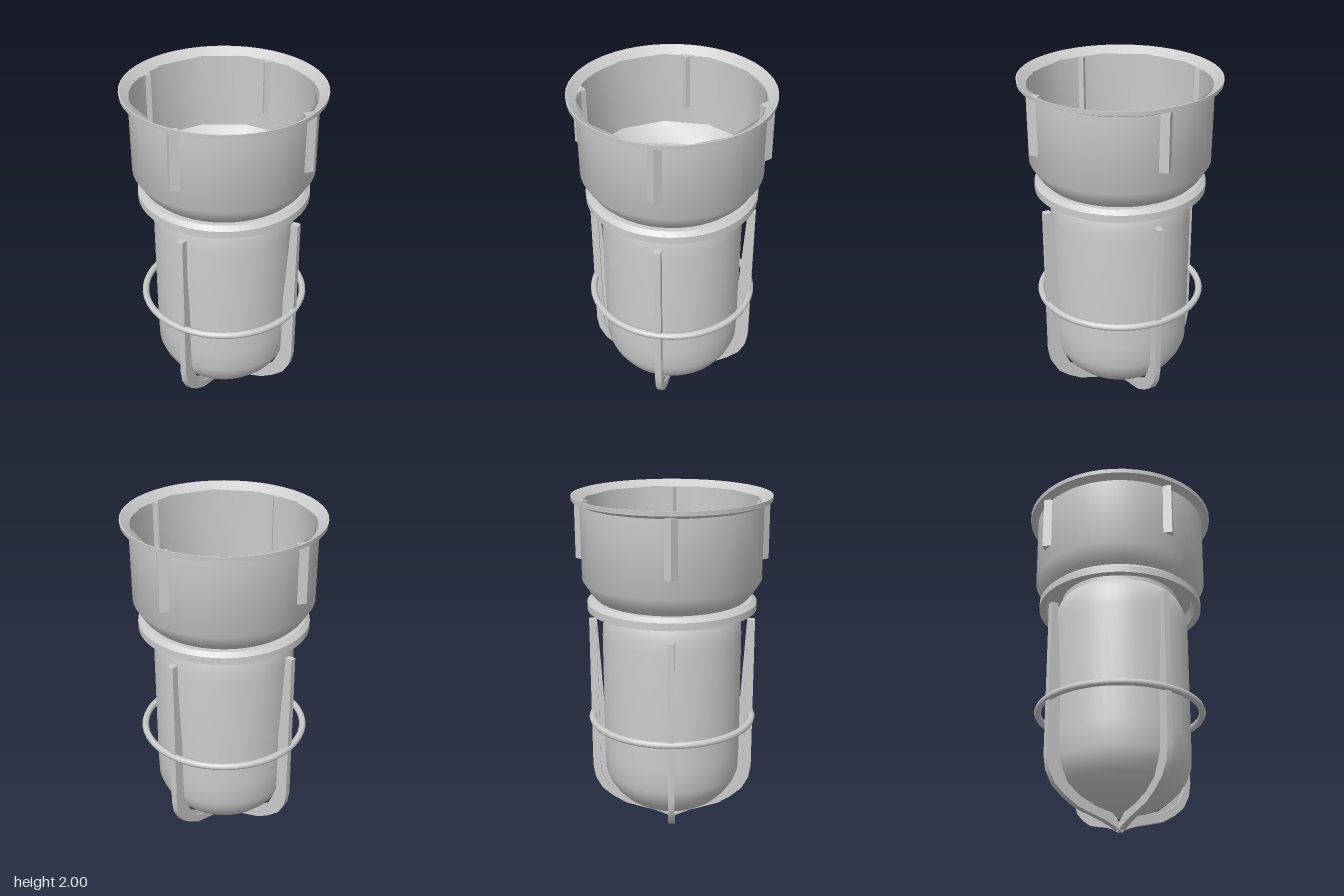
import * as THREE from 'three';
import { toCreasedNormals } from 'three/addons/utils/BufferGeometryUtils.js';

const metal = new THREE.MeshStandardMaterial({ color: 0xcccccc, side: THREE.DoubleSide });
metal.name = 'light grey';

function add(parent, name, geometry) {
  const mesh = new THREE.Mesh(geometry, metal);
  mesh.name = name;
  parent.add(mesh);
  return mesh;
}

// Turned part from [radius, height] pairs, listed upwards on the outside
function turned(profile, segments) {
  const points = profile.map(([r, y]) => new THREE.Vector2(r, y));
  return toCreasedNormals(new THREE.LatheGeometry(points, segments), 0.6);
}

// Flat radial plate from a [radius, height] outline, centred on its thickness
function plate(outline, thickness) {
  const shape = new THREE.Shape(outline.map(([r, y]) => new THREE.Vector2(r, y)));
  const geometry = new THREE.ExtrudeGeometry(shape, { depth: thickness, bevelEnabled: false });
  geometry.translate(0, 0, -thickness / 2);
  return toCreasedNormals(geometry, 0.6);
}

export function createModel() {
  const model = new THREE.Group();
  model.name = 'cagedLamp';

  // Housing: round outer shell with a flared rim, and a twelve-sided lining
  add(model, 'housingShell', turned([
    [0.35, 1.415], [0.425, 1.415], [0.46, 1.45], [0.51, 1.53], [0.512, 1.955],
    [0.525, 1.965], [0.558, 1.975], [0.56, 2.0], [0.553, 2.0], [0.506, 1.965],
  ], 48));
  add(model, 'housingLining', turned([
    [0.506, 1.965], [0.506, 1.53], [0.43, 1.425], [0.345, 1.425],
  ], 12));

  // Four square lugs through the housing wall
  for (const x of [-1, 1]) {
    for (const z of [-1, 1]) {
      const lug = add(model, 'lug', new THREE.BoxGeometry(0.055, 0.325, 0.055));
      lug.position.set(x * 0.358, 1.8, z * 0.358);
    }
  }

  // Collar around the neck
  add(model, 'collar', turned([
    [0.445, 1.355], [0.485, 1.355], [0.485, 1.397], [0.46, 1.42], [0.425, 1.42], [0.445, 1.355],
  ], 48));

  // Open glass jar with a rounded bottom
  add(model, 'glass', turned([
    [0, 0.105], [0.08, 0.108], [0.16, 0.125], [0.23, 0.155], [0.29, 0.195], [0.34, 0.245],
    [0.375, 0.3], [0.398, 0.36], [0.402, 0.5], [0.402, 1.2], [0.397, 1.27], [0.385, 1.32],
    [0.365, 1.365], [0.347, 1.39], [0.347, 1.425],
  ], 48));

  // Cage: four bars that meet under the glass, each with a thin inner fin
  const outer = [
    [0.478, 1.28], [0.478, 0.36], [0.465, 0.28], [0.425, 0.205], [0.36, 0.15],
    [0.28, 0.102], [0.19, 0.076], [0.11, 0.054], [0.05, 0.03], [0, 0.004],
  ];
  const inner = [
    [0, 0.045], [0.05, 0.078], [0.11, 0.098], [0.18, 0.118], [0.265, 0.147],
    [0.33, 0.185], [0.39, 0.235], [0.424, 0.3], [0.434, 0.37], [0.436, 1.28],
  ];
  const finEdge = [
    [0.434, 1.27], [0.402, 0.75], [0.375, 0.3], [0.34, 0.225], [0.26, 0.165],
    [0.17, 0.13], [0.06, 0.112], [0.035, 0.085], [0.02, 0.06],
  ];
  for (let i = 0; i < 4; i++) {
    const bar = new THREE.Group();
    bar.name = 'cageBar';
    bar.rotation.y = Math.PI / 4 + i * Math.PI / 2;
    add(bar, 'bar', plate([...outer, ...inner], 0.038));
    add(bar, 'fin', plate([...finEdge, ...inner.slice(1)], 0.016));
    model.add(bar);
  }

  // Cage hoop
  const hoop = add(model, 'cageHoop', new THREE.TorusGeometry(0.472, 0.02, 8, 48));
  hoop.rotation.x = Math.PI / 2;
  hoop.position.y = 0.69;

  return model;
}
